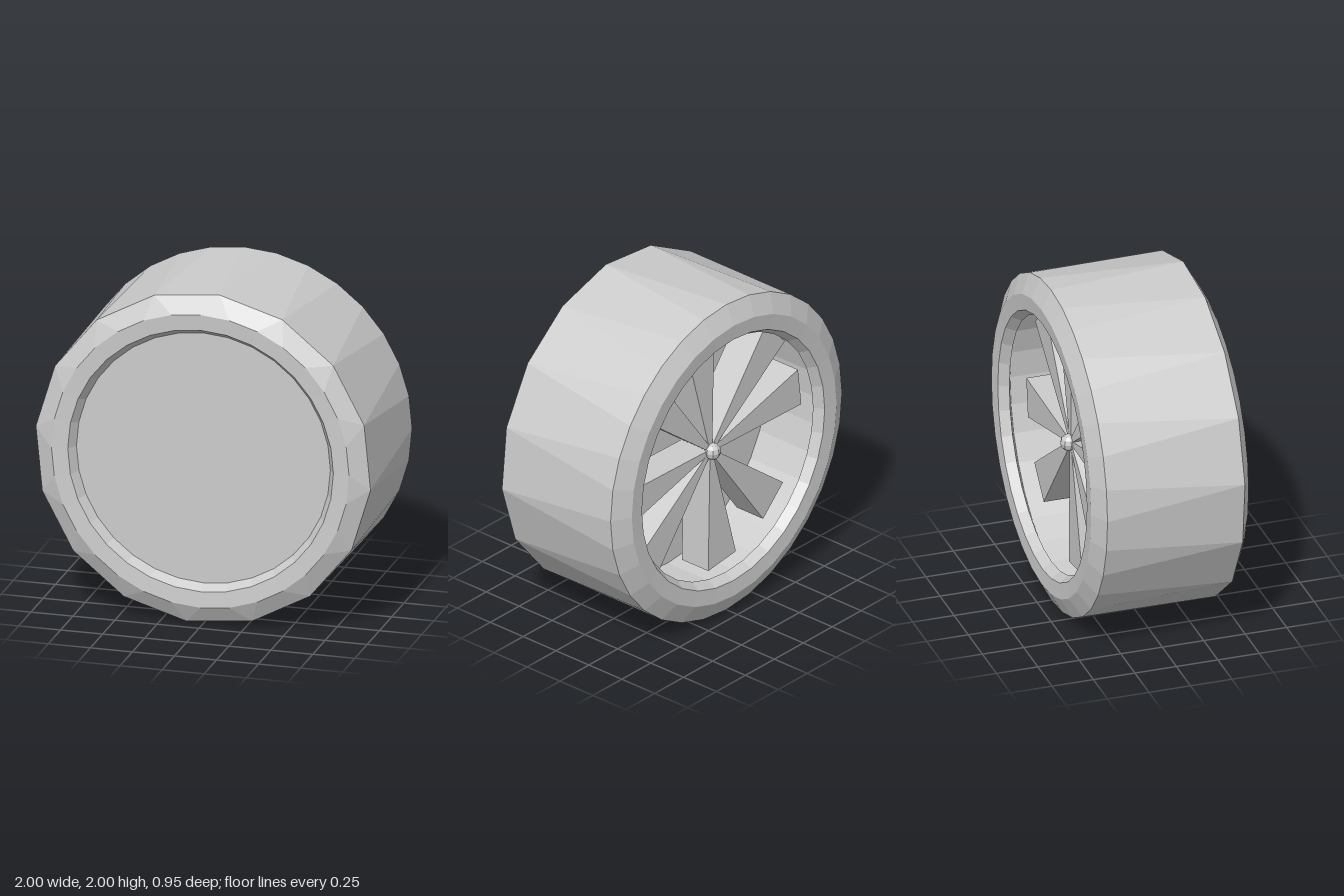
import * as THREE from 'three';

const material = new THREE.MeshStandardMaterial({ color: 0xcccccc, flatShading: true });
const SIDES = 32;

function faceted(name, geometry) {
  const g = geometry.toNonIndexed();
  g.computeVertexNormals();
  const mesh = new THREE.Mesh(g, material);
  mesh.name = name;
  return mesh;
}

// Bevelled ring around a cavity that is open at the back; points are [radius, z]
function housingGeometry() {
  const profile = [
    [0.86, 0.03], [0.86, -0.37], [0.755, -0.41], [0.79, -0.468], [0.885, -0.475],
    [1, -0.415], [1, 0.415], [0.885, 0.475], [0.79, 0.468], [0.755, 0.41],
  ].map(([r, z]) => new THREE.Vector2(r, z));
  const g = new THREE.LatheGeometry(profile, SIDES).rotateX(Math.PI / 2);

  // The outer front edge has half as many sides: each pair of points meets midway
  const p = g.attributes.position;
  const n = profile.length;
  for (let column = 0; column <= SIDES; column++) {
    const step = column + (column % 2 ? 0.5 : -0.5);
    const a = (step / SIDES) * Math.PI * 2 - Math.PI / 2;
    p.setXY(column * n + 6, Math.cos(a), Math.sin(a));
  }
  return g;
}

// Wedge-shaped blade: narrow at the hub, wide at the tip, even in depth
function bladeGeometry() {
  const g = new THREE.BoxGeometry(0.77, 1, 0.2).translate(0.385, 0, -0.2);
  const p = g.attributes.position;
  for (let i = 0; i < p.count; i++) {
    p.setY(i, p.getY(i) * THREE.MathUtils.lerp(0.02, 0.24, p.getX(i) / 0.77));
  }
  return g;
}

export function createModel() {
  const model = new THREE.Group();
  model.name = 'wheel';
  const wheel = new THREE.Group();
  wheel.name = 'wheelBody';
  wheel.position.y = 1;
  model.add(wheel);

  wheel.add(faceted('housing', housingGeometry()));

  // Flat cover across the front and the plate behind the blades
  wheel.add(faceted('frontCover', new THREE.CircleGeometry(0.755, SIDES).translate(0, 0, 0.41)));
  wheel.add(faceted('backPlate', new THREE.CircleGeometry(0.86, SIDES).rotateY(Math.PI).translate(0, 0, 0.03)));

  // Two crosses of blades, unevenly offset
  const blades = new THREE.Group();
  blades.name = 'blades';
  for (const start of [-7, 46]) {
    for (let i = 0; i < 4; i++) {
      const blade = faceted('blade', bladeGeometry());
      blade.rotation.z = THREE.MathUtils.degToRad(start + i * 90);
      blades.add(blade);
    }
  }
  wheel.add(blades);

  // Small hub where the blades meet
  const hub = new THREE.SphereGeometry(0.05, 8, 6);
  hub.translate(0, 0, -0.31);
  wheel.add(faceted('hub', hub));

  return model;
}
